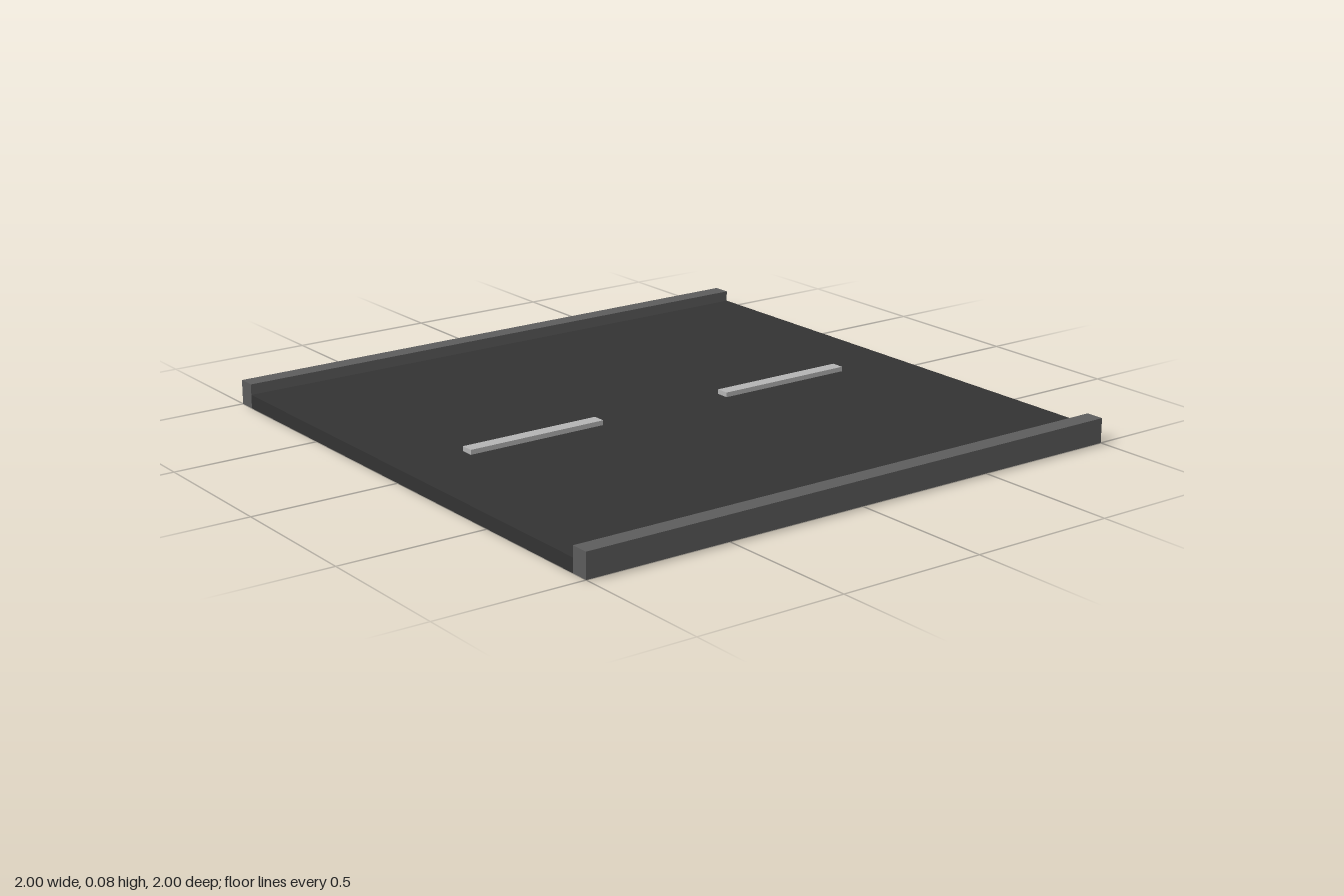
import * as THREE from 'three';

const material = (color) => new THREE.MeshStandardMaterial({ color });

// Box given by its size, its centre in x and z, and the height of its underside
function block(name, [w, h, d], [x, y, z], mat) {
  const mesh = new THREE.Mesh(new THREE.BoxGeometry(w, h, d), mat);
  mesh.name = name;
  mesh.position.set(x, y + h / 2, z);
  return mesh;
}

export function createModel() {
  const group = new THREE.Group();
  group.name = 'roadTile';

  const asphalt = material(0x333333);
  const concrete = material(0x5c5c5c);
  const paint = material(0xb4b4b4);

  const kerbWidth = 0.0625;
  const roadHeight = 0.047;

  // Road slab between the kerbs
  group.add(block('roadSlab', [2, roadHeight, 2 - 2 * kerbWidth], [0, 0, 0], asphalt));

  for (const side of [-1, 1]) {
    // Raised kerb along the front and back edges
    group.add(block(side > 0 ? 'frontKerb' : 'backKerb',
      [2, 0.083, kerbWidth], [0, 0, side * (1 - kerbWidth / 2)], concrete));

    // Raised lane dash on the centre line
    group.add(block(side > 0 ? 'leftLaneDash' : 'rightLaneDash',
      [0.5, 0.016, 0.046], [side * 0.5, roadHeight, 0], paint));
  }

  return group;
}
